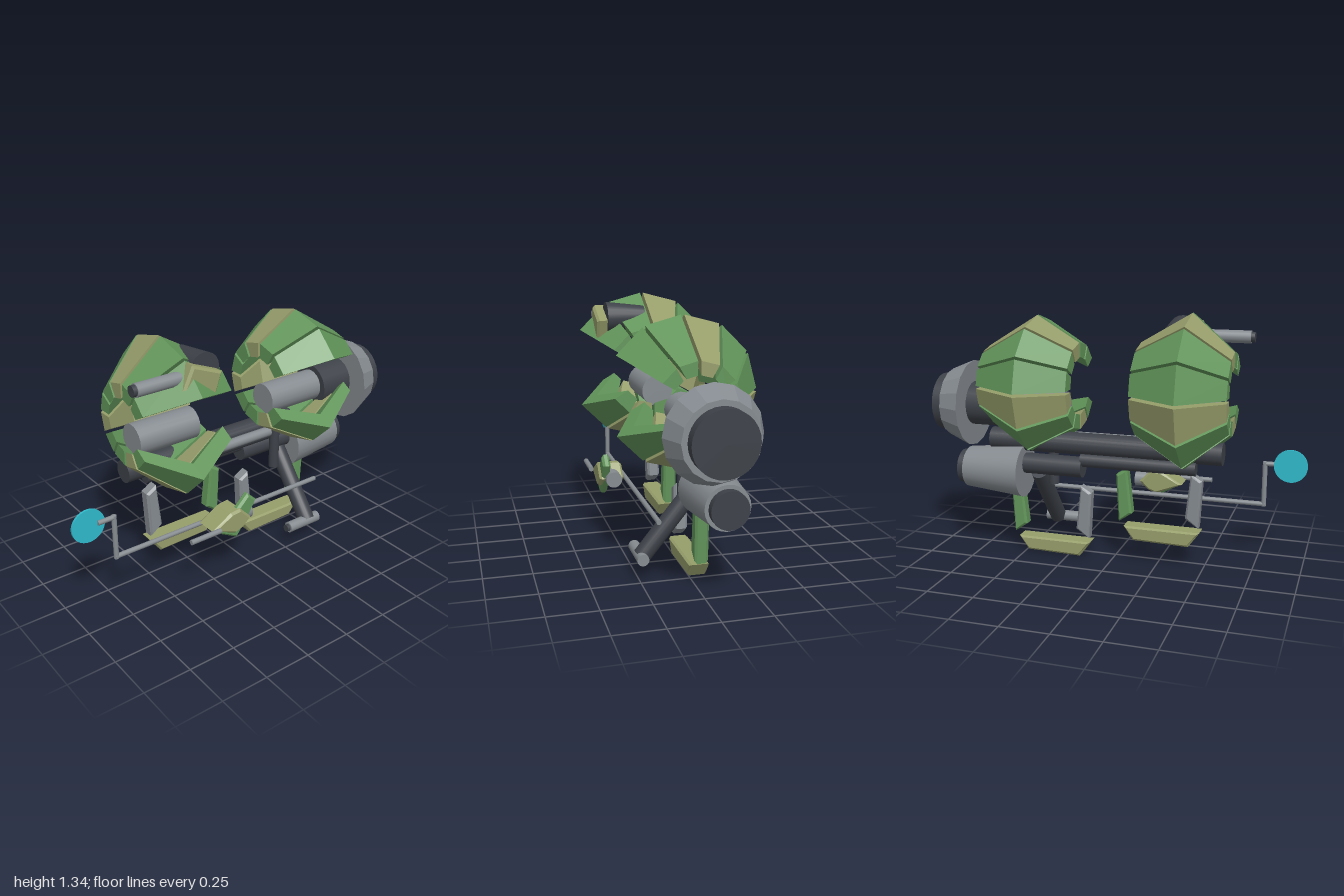
import * as THREE from 'three';

const mat = (name, color, flat = false) => {
  const m = new THREE.MeshStandardMaterial({ color, flatShading: flat });
  m.name = name;
  return m;
};

export function createModel() {
  const root = new THREE.Group();
  const green = mat('armour green', 0x62955a);
  const khaki = mat('khaki', 0x979e6b);
  const grey = mat('steel grey', 0x858b90);
  const dark = mat('dark metal', 0x3d4148);
  const cyan = mat('cyan', 0x2fbacb);

  const add = (name, geo, material, parent = root) => {
    const m = new THREE.Mesh(geo, material);
    m.name = name;
    parent.add(m);
    return m;
  };

  // Round bar between two points, with an optional taper
  const bar = (name, a, b, r0, material, r1 = r0, sides = 20) => {
    const p = new THREE.Vector3(...a), q = new THREE.Vector3(...b);
    const d = q.clone().sub(p);
    const m = add(name, new THREE.CylinderGeometry(r1, r0, d.length(), sides), material);
    m.position.copy(p).add(q).multiplyScalar(0.5);
    m.quaternion.setFromUnitVectors(new THREE.Vector3(0, 1, 0), d.normalize());
    return m;
  };
  const barX = (name, x0, x1, y, z, r0, material, r1, sides) =>
    bar(name, [x0, y, z], [x1, y, z], r0, material, r1, sides);

  // Bevelled slab: outline in x and y, running from z0 to z1
  const slab = (name, pts, z0, z1, material, parent = root, bevel = 0.012) => {
    const shape = new THREE.Shape(pts.map(p => new THREE.Vector2(...p)));
    const geo = new THREE.ExtrudeGeometry(shape, {
      depth: z1 - z0 - 2 * bevel, bevelEnabled: true, bevelSize: bevel,
      bevelOffset: -bevel, bevelThickness: bevel, bevelSegments: 1,
    });
    geo.translate(0, 0, z0 + bevel);
    return add(name, geo, material, parent);
  };

  // One chevron-section armour plate spanning the angles a to b about the ring axis
  const plateGeometry = (section, a, b) => {
    const at = ([x, r], ang, side) => {
      const t = ang + side * Math.asin(0.008 / r);
      return [x, r * Math.cos(t), -r * Math.sin(t)];
    };
    const A = section.map(p => at(p, a, 1)), B = section.map(p => at(p, b, -1));
    const pos = [];
    const quad = (p, q, r, s) => pos.push(...p, ...q, ...r, ...p, ...r, ...s);
    for (let i = 0; i < 6; i++) {
      const j = (i + 1) % 6;
      quad(A[i], A[j], B[j], B[i]);
    }
    for (const [i, j, k, l] of [[0, 1, 4, 5], [1, 2, 3, 4]]) {
      quad(B[i], B[j], B[k], B[l]);
      quad(A[l], A[k], A[j], A[i]);
    }
    const g = new THREE.BufferGeometry();
    g.setAttribute('position', new THREE.Float32BufferAttribute(pos, 3));
    g.computeVertexNormals();
    return g;
  };

  // Armour rings, open at the front
  const rings = [
    ['rightArmourRing', [[-0.62, 0.218], [-0.4, 0.41], [-0.13, 0.25], [-0.13, 0.165], [-0.4, 0.31], [-0.62, 0.14]]],
    ['leftArmourRing', [[0.21, 0.235], [0.445, 0.375], [0.73, 0.2], [0.73, 0.135], [0.445, 0.28], [0.21, 0.155]]],
  ];
  const khakiPlates = [0, 3, 6];
  for (const [name, section] of rings) {
    const ring = new THREE.Group();
    ring.name = name;
    ring.position.set(0, 0.932, 0.03);
    for (let k = -2; k < 8; k++) {
      const a = k * Math.PI / 6;
      add('armourPlate', plateGeometry(section, a, a + Math.PI / 6), khakiPlates.includes(k) ? khaki : green, ring);
    }
    root.add(ring);
  }

  // Axles inside the rings and the main nozzle
  barX('rightAxle', -0.555, -0.2, 0.82, -0.01, 0.085, grey);
  barX('leftAxle', 0.275, 0.63, 0.82, -0.01, 0.085, grey);
  barX('nozzleNeck', 0.62, 0.83, 0.815, -0.01, 0.12, dark);
  const cone = barX('mainNozzle', 0.815, 0.94, 0.815, -0.01, 0.237, grey, 0.185, 16);
  cone.material = mat('faceted grey', 0x858b90, true);
  barX('nozzleCore', 0.9, 1.0, 0.815, -0.01, 0.156, dark, 0.156, 28);

  // Lower engine
  barX('lowerEngine', 0.49, 0.82, 0.468, -0.082, 0.144, grey, 0.112, 24);
  barX('lowerEngineCore', 0.8, 0.86, 0.468, -0.082, 0.093, dark, 0.093, 24);

  // Cross beams
  barX('mainBeam', -0.59, 0.69, 0.635, -0.052, 0.06, dark);
  barX('lowerBeam', -0.455, 0.17, 0.553, -0.075, 0.038, dark);
  barX('engineShaft', 0.16, 0.5, 0.511, -0.075, 0.056, dark);
  barX('frontBeam', -0.2, 0.28, 0.628, 0.02, 0.038, dark);
  barX('frontPiston', -0.18, 0.275, 0.648, 0.048, 0.027, grey);
  bar('shortPost', [-0.25, 0.5, 0], [-0.25, 0.62, 0], 0.029, dark);
  bar('longPost', [0.357, 0.385, 0], [0.357, 0.68, 0], 0.028, dark);

  // Sloping leg and foot roller
  bar('leg', [0.422, 0.46, -0.05], [0.422, 0.115, 0.228], 0.046, dark);
  barX('footRoller', 0.28, 0.49, 0.117, 0.235, 0.03, grey);
  barX('footRollerTip', 0.262, 0.28, 0.117, 0.235, 0.02, dark);

  // Two skid assemblies: side slabs over a tapered base
  for (const [x, y, name] of [[0.33, 0, 'leftSkid'], [-0.275, 0.118, 'rightSkid']]) {
    const skid = new THREE.Group();
    skid.name = name;
    skid.position.set(x, y, 0);
    root.add(skid);
    slab('skidBase', [[-0.205, 0.088], [-0.145, 0.005], [0.155, 0.012], [0.208, 0.088]], -0.09, 0.012, khaki, skid);
    const side = [[-0.21, 0.365], [-0.195, 0.105], [-0.122, 0.155], [-0.15, 0.4]];
    slab('greySide', side, -0.072, -0.002, grey, skid);
    slab('greenSide', side.map(([px, py]) => [0.045 - px, py]).reverse(), -0.072, -0.002, green, skid);
  }

  // Small faceted pod with fin, probe and rear pipe
  slab('podBody', [[-0.315, 0.368], [-0.17, 0.308], [-0.12, 0.325], [-0.072, 0.372], [-0.14, 0.442], [-0.2, 0.435]], 0.21, 0.342, khaki);
  slab('podFin', [[-0.29, 0.345], [-0.155, 0.27], [-0.085, 0.36], [-0.03, 0.455], [-0.085, 0.508], [-0.16, 0.435]], 0.288, 0.33, green);
  barX('podProbe', -0.46, -0.28, 0.373, 0.353, 0.014, grey, 0.014, 12);
  barX('podPipe', -0.12, -0.04, 0.373, 0.27, 0.043, grey);

  // Long antenna with an upright, a short arm and a disc
  barX('antennaRod', -0.785, 0.525, 0.32, 0.165, 0.013, grey, 0.013, 12);
  bar('antennaUpright', [-0.777, 0.31, 0.165], [-0.777, 0.555, 0.165], 0.013, grey);
  barX('antennaArm', -0.865, -0.77, 0.545, 0.165, 0.013, grey, 0.013, 12);
  bar('antennaDisc', [-0.912, 0.543, 0.15], [-0.912, 0.543, 0.162], 0.088, cyan, 0.088, 32);

  // Gun on top of the right ring
  bar('gunMount', [-0.3, 1.22, 0.045], [-0.3, 1.22, 0.255], 0.06, dark, 0.085);
  slab('gunBody', [[-0.455, 1.16], [-0.27, 1.1], [-0.232, 1.21], [-0.4, 1.278]], 0.235, 0.31, khaki);
  barX('gunBarrel', -0.67, -0.42, 1.203, 0.238, 0.034, grey);
  barX('gunMuzzle', -0.69, -0.665, 1.203, 0.238, 0.028, dark);

  return root;
}
